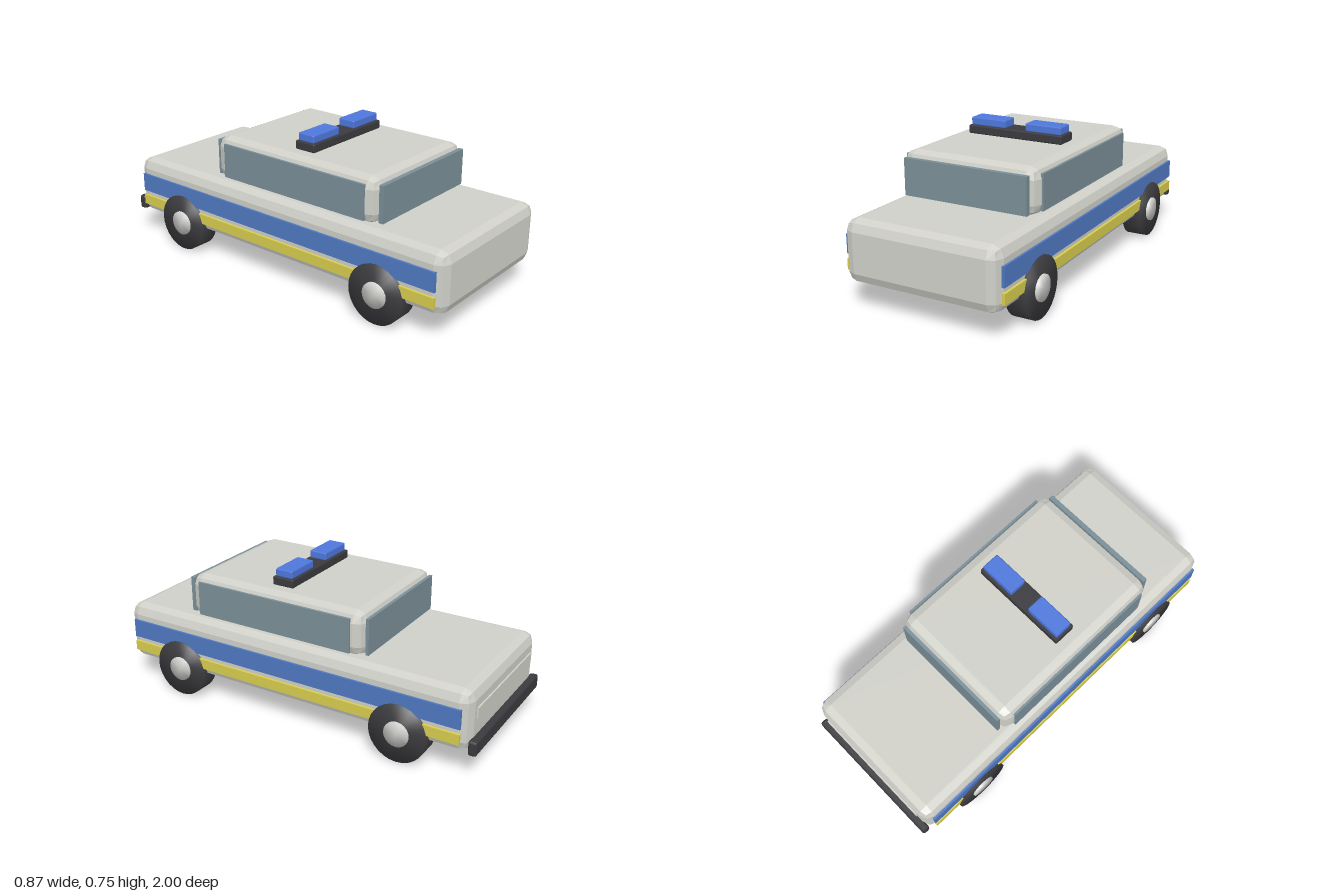
import * as THREE from 'three';
import { mergeVertices } from 'three/addons/utils/BufferGeometryUtils.js';
import { RoundedBoxGeometry } from 'three/addons/geometries/RoundedBoxGeometry.js';

function material(name, color) {
  const m = new THREE.MeshStandardMaterial({ color });
  m.name = name;
  return m;
}

export function createModel() {
  const car = new THREE.Group();
  car.name = 'patrolCar';
  const paint = material('paleGreyPaint', 0xd0d0c9);
  const glass = material('blueGreyGlass', 0x7b8f98);
  const blue = material('stripeBlue', 0x4f79c2);
  const yellow = material('stripeYellow', 0xd8cd4e);
  const black = material('blackRubber', 0x3b3b3f);
  const lamp = material('lampBlue', 0x4f78dc);
  const metal = material('hubMetal', 0xcfcfcc);
  paint.flatShading = true;

  const add = (name, geometry, mat, x, y, z) => {
    const mesh = new THREE.Mesh(geometry, mat);
    mesh.name = name;
    mesh.position.set(x, y, z);
    car.add(mesh);
    return mesh;
  };
  // box given by its extents, with an optional two-step bevel
  const box = (name, mat, [x0, x1], [y0, y1], [z0, z1], bevel = 0) => {
    const size = [x1 - x0, y1 - y0, z1 - z0];
    const geometry = bevel
      ? new RoundedBoxGeometry(...size, 1, bevel)
      : new THREE.BoxGeometry(...size);
    return add(name, geometry, mat, (x0 + x1) / 2, (y0 + y1) / 2, (z0 + z1) / 2);
  };
  // cylinder along x whose normals blend over the rim
  const disc = (radius, width, sides) => {
    const g = new THREE.CylinderGeometry(radius, radius, width, sides);
    g.rotateZ(Math.PI / 2);
    g.deleteAttribute('normal');
    g.deleteAttribute('uv');
    const merged = mergeVertices(g, 1e-4);
    merged.computeVertexNormals();
    return merged;
  };

  // Body shell and cabin
  box('body', paint, [-0.403, 0.403], [0.13, 0.438], [-0.965, 1], 0.055);
  box('cabin', paint, [-0.362, 0.362], [0.439, 0.668], [-0.4, 0.6], 0.055);

  // Windscreen and rear window
  box('windscreen', glass, [-0.329, 0.329], [0.455, 0.638], [0.598, 0.622]);
  box('rearWindow', glass, [-0.329, 0.329], [0.455, 0.638], [-0.415, -0.398]);

  // Side windows and stripes, mirrored
  for (const s of [-1, 1]) {
    const side = s < 0 ? 'right' : 'left';
    const span = (a, b) => (s < 0 ? [-b, -a] : [a, b]);
    box(side + 'Window', glass, span(0.358, 0.37), [0.463, 0.638], [-0.334, 0.543]);
    box(side + 'BlueStripe', blue, span(0.4, 0.414), [0.258, 0.354], [-0.925, 0.96]);
    box(side + 'YellowStripe', yellow, span(0.4, 0.416), [0.18, 0.233], [-0.925, 0.96]);
  }

  // Tail panel and rear bumper
  box('tailPanel', paint, [-0.327, 0.327], [0.287, 0.342], [-0.973, -0.96]);
  box('rearBumper', black, [-0.393, 0.393], [0.128, 0.203], [-1, -0.957], 0.012);

  // Wheels with hubs showing on both sides
  const tyre = disc(0.149, 0.104, 28);
  const hub = disc(0.064, 0.124, 20);
  for (const s of [-1, 1]) {
    for (const z of [0.652, -0.62]) {
      const label = (z > 0 ? 'front' : 'rear') + (s < 0 ? 'Right' : 'Left');
      add(label + 'Tyre', tyre, black, s * 0.371, 0.149, z);
      add(label + 'Hub', hub, metal, s * 0.371, 0.149, z);
    }
  }

  // Roof light bar
  box('lightBar', black, [-0.262, 0.262], [0.668, 0.712], [0.045, 0.163], 0.007);
  box('rightLamp', lamp, [-0.252, -0.056], [0.71, 0.752], [0.056, 0.152], 0.008);
  box('leftLamp', lamp, [0.056, 0.252], [0.71, 0.752], [0.056, 0.152], 0.008);

  return car;
}
